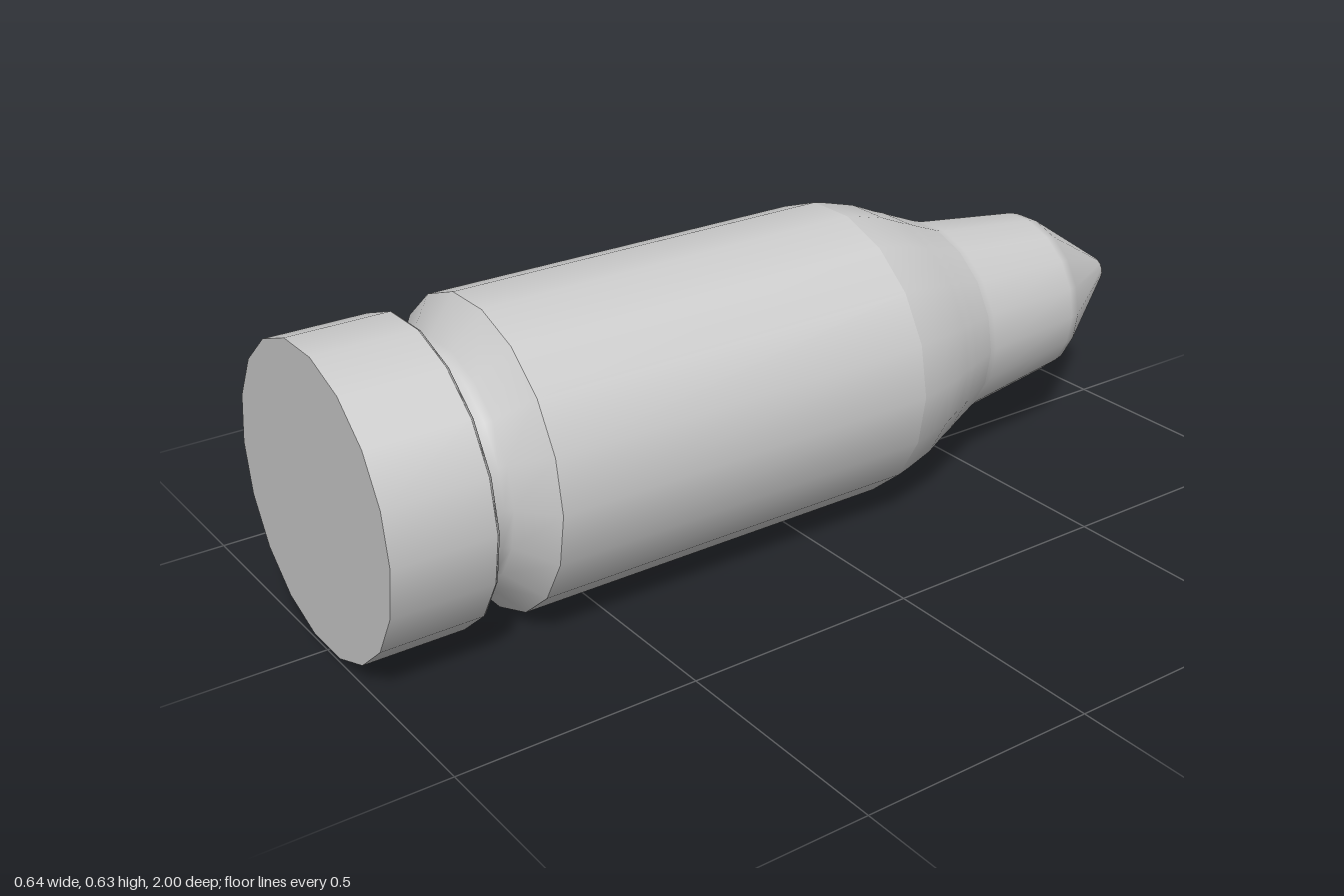
import * as THREE from 'three';

const SIDES = 18;
const RADIUS = 0.32;

// Turns a [radius, z] profile, listed from the base to the tip, around the z axis
function turned(name, profile, material) {
  const points = profile.map(([r, z]) => new THREE.Vector2(r, -z));
  const geometry = new THREE.LatheGeometry(points, SIDES, Math.PI / 2);
  geometry.rotateX(-Math.PI / 2);
  const mesh = new THREE.Mesh(geometry, material);
  mesh.name = name;
  return mesh;
}

export function createModel() {
  const group = new THREE.Group();
  group.name = 'cartridge';
  const material = new THREE.MeshStandardMaterial({ color: 0xcccccc });

  // Separate profiles keep the edges between them sharp
  const parts = {
    baseFace: [[0, 1], [0.312, 1]],
    rim: [[0.312, 1], [0.312, 0.79]],
    rimBack: [[0.312, 0.79], [0.308, 0.784], [0.245, 0.784]],
    extractorGroove: [[0.245, 0.784], [0.239, 0.775], [0.239, 0.735], [0.246, 0.72], [0.32, 0.66]],
    caseBody: [[RADIUS, 0.66], [RADIUS, -0.2]],
    caseShoulder: [
      [RADIUS, -0.2], [0.313, -0.23], [0.294, -0.3], [0.268, -0.36],
      [0.261, -0.38], [0.252, -0.4], [0.234, -0.445], [0.226, -0.465],
    ],
    bullet: [
      [0.226, -0.465], [0.22, -0.485], [0.187, -0.745], [0.181, -0.77],
      [0.036, -0.99], [0.03, -1], [0, -1],
    ],
  };
  for (const [name, profile] of Object.entries(parts)) {
    group.add(turned(name, profile, material));
  }

  // Rest the lowest flat side on the ground
  group.children.forEach((m) => { m.position.y = RADIUS * Math.cos(Math.PI / SIDES); });
  return group;
}
